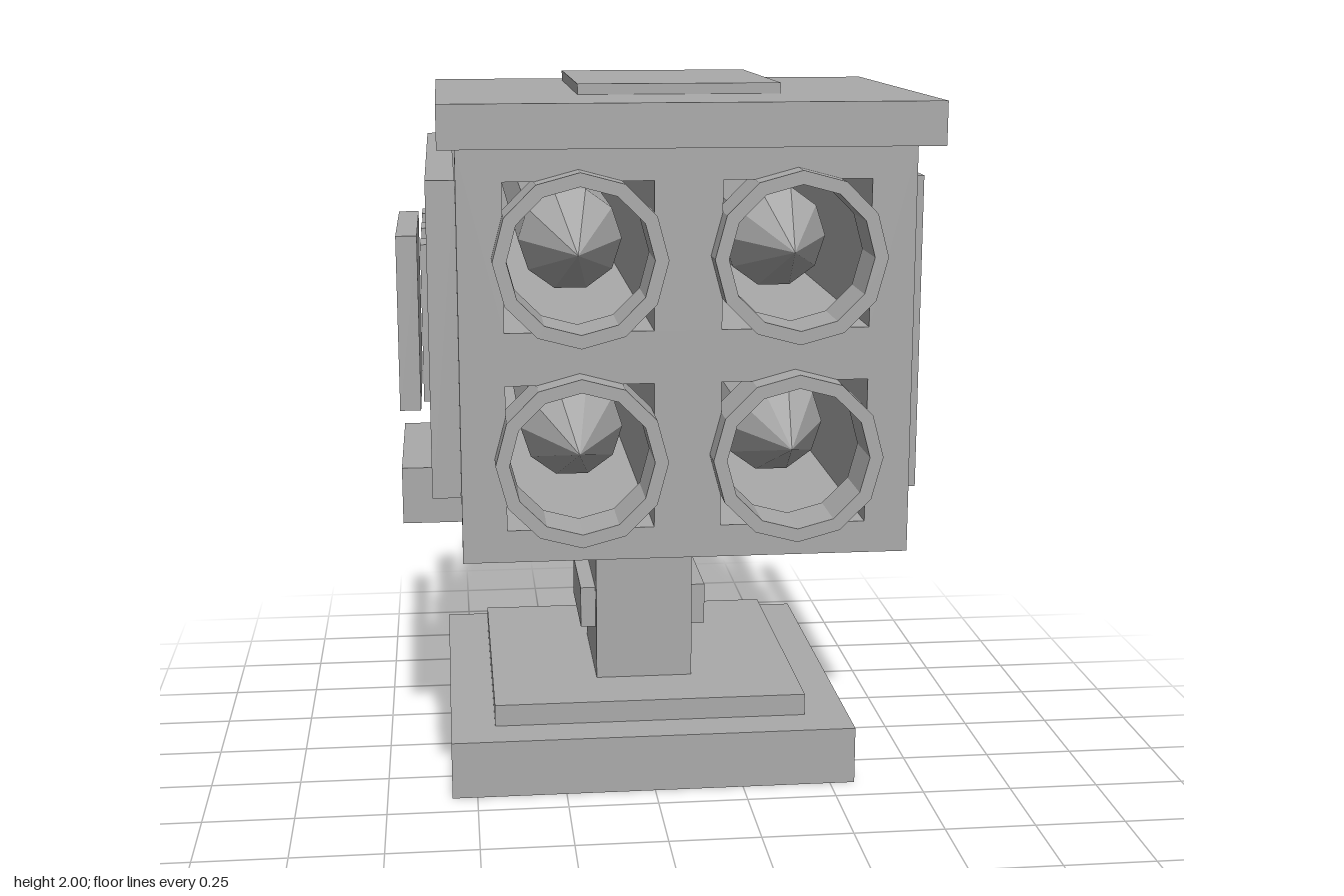
import * as THREE from 'three';

const grey = new THREE.MeshStandardMaterial({ color: 0xaaaaaa, flatShading: true });
grey.name = 'plain grey';

function add(group, name, geometry) {
  const mesh = new THREE.Mesh(geometry, grey);
  mesh.name = name;
  group.add(mesh);
  return mesh;
}

// Box given by its limits on each axis
function slab(group, name, [x0, x1], [y0, y1], [z0, z1]) {
  const g = new THREE.BoxGeometry(x1 - x0, y1 - y0, z1 - z0);
  add(group, name, g.translate((x0 + x1) / 2, (y0 + y1) / 2, (z0 + z1) / 2));
}

// The same box on the left and right sides
function slabPair(group, name, [x0, x1], y, z) {
  slab(group, name + 'Left', [x0, x1], y, z);
  slab(group, name + 'Right', [-x1, -x0], y, z);
}

// Chamfered rectangle, counter-clockwise seen from the front
function octagon(z, w, y0, y1, c) {
  return [
    [w - c, y0], [w, y0 + c], [w, y1 - c], [w - c, y1],
    [c - w, y1], [-w, y1 - c], [-w, y0 + c], [c - w, y0],
  ].map(([x, y]) => [x, y, z]);
}

// Shell lofted through the sections front to back, closed at the back only
function housingGeometry(sections) {
  const n = 8, index = [];
  for (let s = 0; s < sections.length - 1; s++) {
    for (let i = 0; i < n; i++) {
      const a = s * n + i, b = s * n + (i + 1) % n;
      index.push(a, a + n, b, b, a + n, b + n);
    }
  }
  const last = (sections.length - 1) * n;
  for (let i = 1; i < n - 1; i++) index.push(last, last + i + 1, last + i);
  const g = new THREE.BufferGeometry();
  g.setAttribute('position', new THREE.Float32BufferAttribute(sections.flat(2), 3));
  g.setIndex(index);
  g.computeVertexNormals();
  return g;
}

// Square bore facing inwards, open at the front
function boreGeometry(size, z0, z1) {
  const g = new THREE.BoxGeometry(size, size, z1 - z0);
  const faces = Array.from(g.index.array).filter((_, i) => i < 24 || i >= 30);
  g.clearGroups();
  for (let i = 0; i < faces.length; i += 3) {
    [faces[i], faces[i + 1]] = [faces[i + 1], faces[i]];
  }
  g.setIndex(faces);
  g.computeVertexNormals();
  return g.translate(0, 0, (z0 + z1) / 2);
}

export function createModel() {
  const model = new THREE.Group();
  model.name = 'launcherTurret';

  // Pedestal
  slab(model, 'base', [-0.57, 0.57], [0, 0.163], [-0.98, 0.16]);
  slab(model, 'baseStep', [-0.445, 0.445], [0.163, 0.225], [-0.85, 0.04]);
  slab(model, 'post', [-0.14, 0.14], [0.225, 0.74], [-0.57, -0.16]);
  slabPair(model, 'postBoss', [0.14, 0.183], [0.37, 0.49], [-0.53, -0.2]);
  slab(model, 'cradle', [-0.69, 0.69], [0.735, 0.895], [-0.65, -0.08]);

  // Tapered housing
  add(model, 'housing', housingGeometry([
    octagon(0.81, 0.53, 0.9, 1.875, 0.122),
    octagon(-0.39, 0.53, 0.9, 1.875, 0.122),
    octagon(-0.98, 0.485, 0.948, 1.825, 0.12),
  ]));

  // Roof plates
  slab(model, 'roofPlate', [-0.57, 0.57], [1.875, 1.975], [0, 0.98]);
  slab(model, 'roofHatch', [-0.24, 0.24], [1.975, 2], [0.08, 0.685]);

  // Side armour, ribs and outer panels
  slabPair(model, 'sidePlate', [0.53, 0.6], [1, 1.775], [-0.73, 0.65]);
  for (const z of [0.345, 0.023, -0.3]) {
    slabPair(model, 'sideRib', [0.6, 0.617], [1.19, 1.59], [z - 0.06, z + 0.06]);
  }
  slabPair(model, 'outerPanel', [0.632, 0.69], [1.06, 1.548], [-0.65, -0.08]);

  // Front plate with four square openings
  const face = new THREE.Shape();
  face.moveTo(-0.53, 0.9).lineTo(0.53, 0.9).lineTo(0.53, 1.875).lineTo(-0.53, 1.875).closePath();
  const cells = [];
  for (const x of [-0.252, 0.252]) for (const y of [1.15, 1.62]) cells.push([x, y]);
  const h = 0.173;
  for (const [x, y] of cells) {
    const hole = new THREE.Path();
    hole.moveTo(x - h, y - h).lineTo(x - h, y + h).lineTo(x + h, y + h).lineTo(x + h, y - h).closePath();
    face.holes.push(hole);
  }
  add(model, 'frontPlate',
    new THREE.ExtrudeGeometry(face, { depth: 0.065, bevelEnabled: false }).translate(0, 0, 0.81));

  // Launch tubes, each with a bore and a pointed round
  const ring = [[0.2, 0.8], [0.2, 0.945], [0.168, 0.945], [0.168, 0.8], [0.2, 0.8]];
  const tubeGeo = new THREE.LatheGeometry(ring.map(p => new THREE.Vector2(...p)), 12).rotateX(Math.PI / 2);
  const boreGeo = boreGeometry(2 * h, -0.97, 0.81);
  const roundProfile = [[0, -0.9], [0.127, -0.9], [0.127, 0.55], [0, 0.85]];
  const roundGeo = new THREE.LatheGeometry(roundProfile.map(p => new THREE.Vector2(...p)), 10)
    .rotateY(Math.PI / 10).rotateX(Math.PI / 2);
  for (const [x, y] of cells) {
    const cell = new THREE.Group();
    cell.name = 'launchTube';
    add(cell, 'tubeRim', tubeGeo);
    add(cell, 'bore', boreGeo);
    add(cell, 'round', roundGeo);
    cell.position.set(x, y, 0);
    model.add(cell);
  }
  return model;
}
